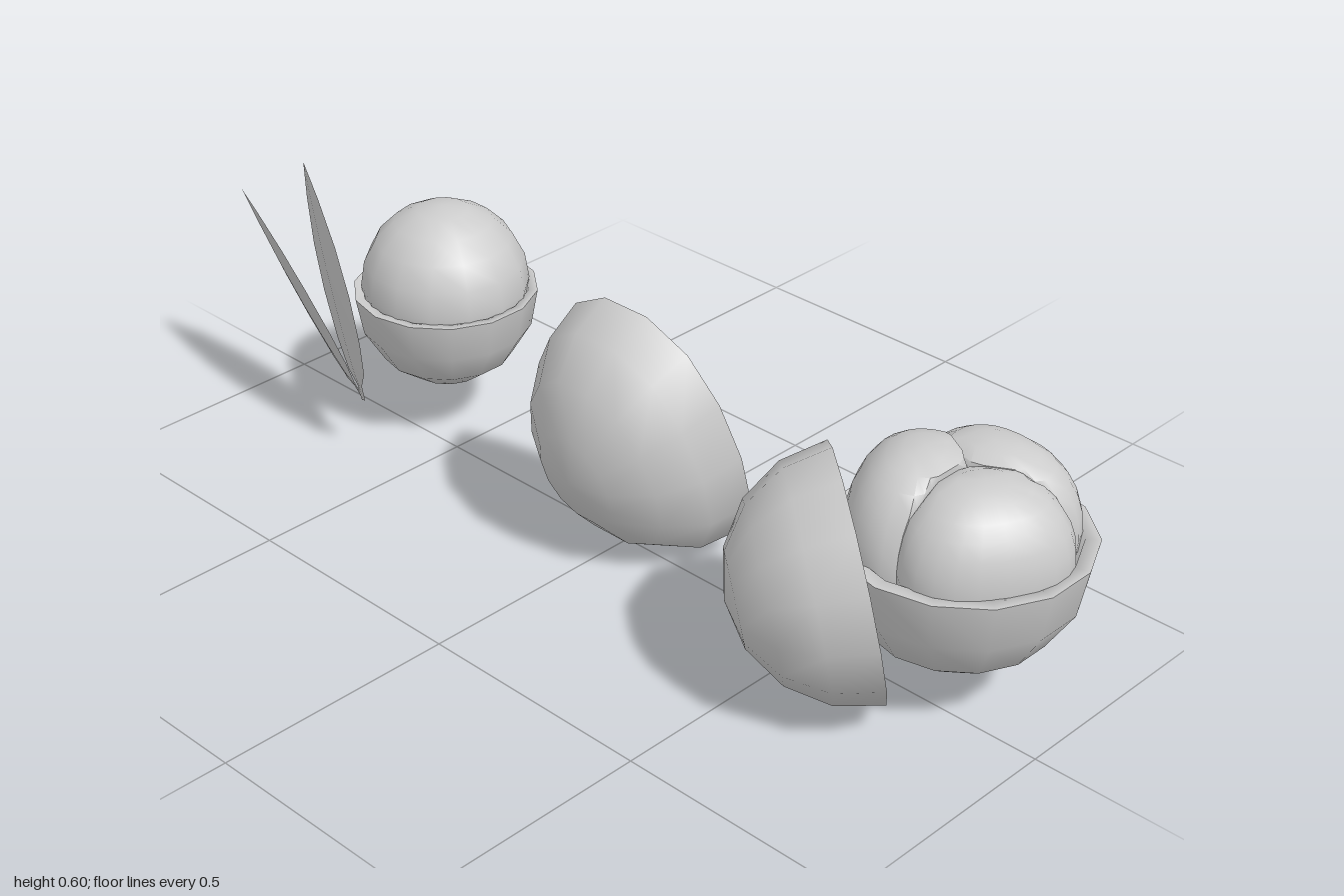
import * as THREE from 'three';
import { toCreasedNormals } from 'three/addons/utils/BufferGeometryUtils.js';

const grey = new THREE.MeshStandardMaterial({ color: 0xcccccc, side: THREE.DoubleSide });
grey.name = 'lightGrey';

function part(geometry, name) {
  const mesh = new THREE.Mesh(geometry, grey);
  mesh.name = name;
  return mesh;
}

function moveVertices(geometry, rule) {
  const p = geometry.attributes.position;
  const v = new THREE.Vector3();
  for (let i = 0; i < p.count; i++) {
    rule(v.fromBufferAttribute(p, i));
    p.setXYZ(i, v.x, v.y, v.z);
  }
  return geometry;
}

// Thick half shell of unit radius, opening towards +y, rim at y = 0
function halfShell(inner, innerDepth, segments, phase, rule) {
  const points = [];
  for (let i = 0; i <= 4; i++) {
    const a = i * Math.PI / 8;
    points.push(new THREE.Vector2(Math.sin(a), -Math.cos(a)));
  }
  for (let i = 4; i >= 0; i--) {
    const a = i * Math.PI / 8;
    points.push(new THREE.Vector2(inner * Math.sin(a), -innerDepth * Math.cos(a)));
  }
  const lathe = new THREE.LatheGeometry(points, segments, phase);
  return toCreasedNormals(moveVertices(lathe, rule), 1.7);
}

const roundShell = (radius, depth, inner) =>
  halfShell(inner, inner, 14, 0, v => v.set(v.x * radius, v.y * depth, v.z * radius));

// One of three bulging flesh segments, pressed flat along its two seams
function fleshSegment(angle, height) {
  const g = new THREE.SphereGeometry(1, 24, 14);
  const square = t => Math.sign(t) * Math.abs(t) ** 0.85;
  moveVertices(g, v => {
    let r = 0.075 + square(v.z) * 0.137;
    let s = square(v.x) * 0.168;
    if (Math.abs(s) > r * Math.sqrt(3)) {
      const along = Math.max(0, 0.5 * r + 0.866 * Math.abs(s));
      r = 0.5 * along;
      s = Math.sign(s) * 0.866 * along;
    }
    v.set(s, v.y * height, r);
  });
  g.rotateY(angle);
  return toCreasedNormals(g, 0.8);
}

// Leaf lofted from a base to a tip, with half widths along its length
function leaf(base, tip, side, sag) {
  const rows = [[0, 0.014], [0.06, 0.016], [0.12, 0.06], [0.25, 0.088], [0.45, 0.1],
    [0.65, 0.086], [0.85, 0.045], [1, 0]];
  const a = new THREE.Vector3(...base), b = new THREE.Vector3(...tip);
  const across = new THREE.Vector3(...side);
  const positions = [], index = [];
  rows.forEach(([t, w], i) => {
    for (const k of [-1, 0, 1]) {
      const p = a.clone().lerp(b, t).addScaledVector(across, k * w - sag * Math.sin(Math.PI * t));
      if (k === 0) p.z += 0.1 * w;
      positions.push(p.x, p.y, p.z);
    }
    if (i === 0) return;
    for (const k of [0, 1]) {
      const n = (i - 1) * 3 + k;
      index.push(n, n + 1, n + 4, n, n + 4, n + 3);
    }
  });
  const g = new THREE.BufferGeometry();
  g.setAttribute('position', new THREE.Float32BufferAttribute(positions, 3));
  g.setIndex(index);
  g.computeVertexNormals();
  return g;
}

export function createModel() {
  const model = new THREE.Group();
  model.name = 'openedFruits';

  // Small fruit: ball of flesh in a half shell
  const small = new THREE.Group();
  small.name = 'smallFruit';
  small.position.set(-0.6, 0.32, -0.073);
  const ball = part(new THREE.SphereGeometry(0.174, 14, 10), 'fleshBall');
  ball.position.y = 0.011;
  small.add(part(roundShell(0.192, 0.21, 0.9), 'smallShell'), ball);
  model.add(small);

  // Pair of leaves beside the small fruit
  model.add(part(leaf([-0.62, 0.14, 0.15], [-1, 0.475, 0.13], [0.63, 0.74, 0.52], 0.012), 'outerLeaf'));
  model.add(part(leaf([-0.605, 0.14, 0.158], [-0.8, 0.6, 0.12], [0.88, 0.38, 0.38], 0), 'innerLeaf'));

  // Empty egg-shaped shell leaning back, opening to the rear
  const egg = part(halfShell(0.81, 0.68, 14, Math.PI / 14, v => {
    const width = 0.238 - 0.04 * v.z + 0.05 * v.z * v.z;
    v.set(v.x * width, v.y * 0.235, v.z * 0.277);
  }), 'emptyShell');
  egg.position.set(0.005, 0.268, -0.06);
  egg.rotation.x = -1.308;
  model.add(egg);

  // Large fruit: lower shell with three flesh segments
  const large = new THREE.Group();
  large.name = 'largeFruit';
  large.position.set(0.757, 0.333, -0.071);
  large.add(part(roundShell(0.242, 0.258, 0.88), 'lowerShell'));
  [[Math.PI / 3, 0.155], [-Math.PI / 3, 0.168], [Math.PI, 0.157]].forEach(([angle, height], i) =>
    large.add(part(fleshSegment(angle, height), 'fleshSegment' + (i + 1))));
  model.add(large);

  // Lid shell propped against the large fruit, opening back and slightly up
  const lid = part(roundShell(0.24, 0.24, 0.85), 'lidShell');
  lid.position.set(0.637, 0.26, 0.07);
  lid.quaternion.setFromUnitVectors(
    new THREE.Vector3(0, 1, 0), new THREE.Vector3(0.63, 0.19, -0.75).normalize());
  model.add(lid);

  return model;
}
